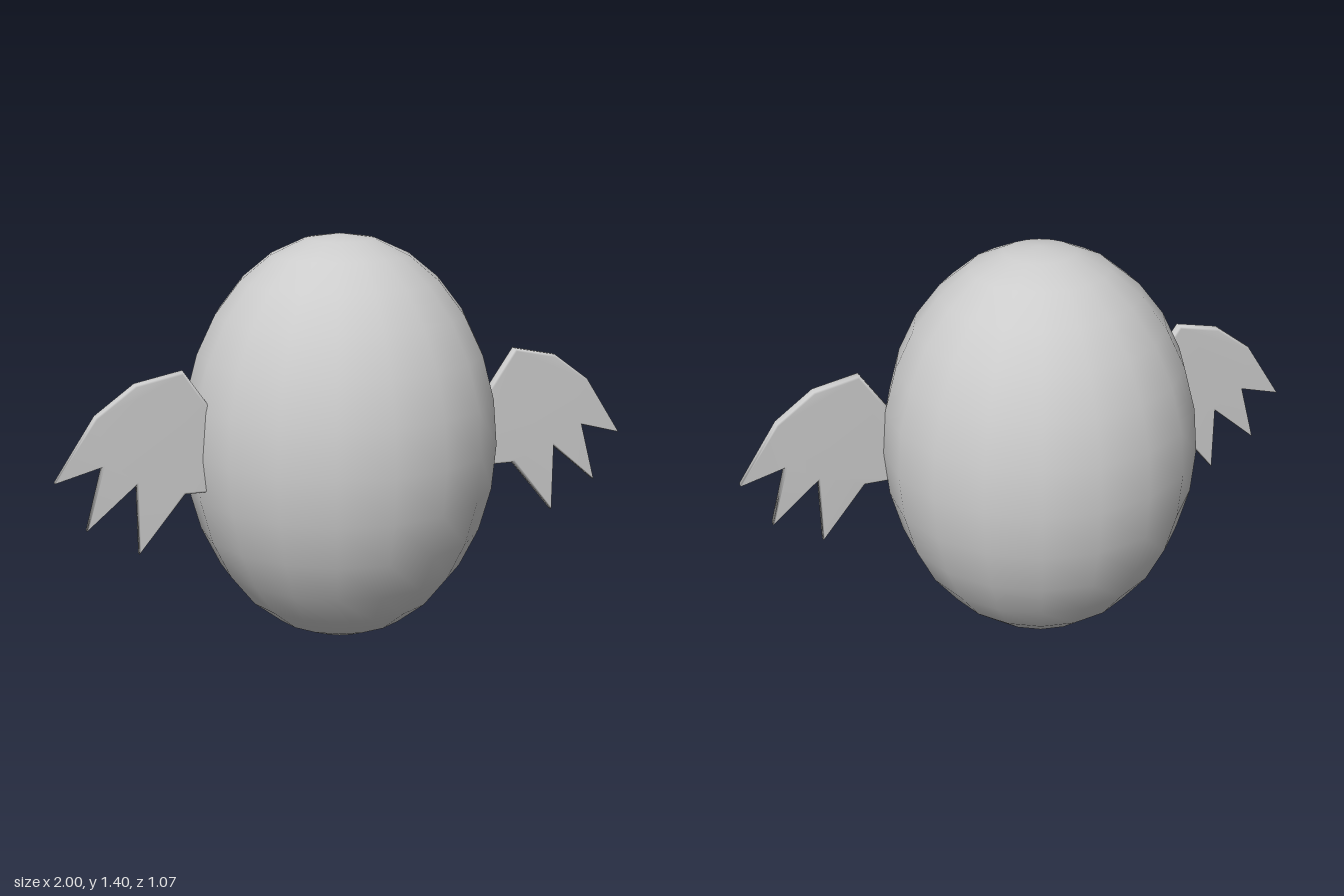
import * as THREE from 'three';
import { mergeVertices } from 'three/addons/utils/BufferGeometryUtils.js';

const grey = new THREE.MeshStandardMaterial({ color: 0xcccccc });
grey.name = 'grey';

// Feathered wing outline, from the root over the top to the feather tips
const OUTLINE = [
  [0.46, 0.82], [0.5, 0.88], [0.58, 0.997], [0.735, 0.965], [0.865, 0.87], [1, 0.665],
  [0.85, 0.705], [0.907, 0.498], [0.742, 0.637], [0.742, 0.402], [0.585, 0.59], [0.46, 0.59],
];

// Thin plate with softened rims, side = 1 for left and -1 for right
function makeWing(side) {
  const shape = new THREE.Shape(OUTLINE.map(([x, y]) => new THREE.Vector2(x * side, y)));
  const bevel = 0.009;
  const plate = new THREE.ExtrudeGeometry(shape, {
    depth: 0.037 - 2 * bevel,
    bevelSize: bevel,
    bevelThickness: bevel,
    bevelOffset: -bevel,
    bevelSegments: 2,
  });
  plate.deleteAttribute('uv');
  plate.deleteAttribute('normal');
  const geometry = mergeVertices(plate, 1e-5);
  geometry.computeVertexNormals();
  const wing = new THREE.Mesh(geometry, grey);
  wing.position.z = 0.095 + bevel;
  wing.name = side > 0 ? 'leftWing' : 'rightWing';
  return wing;
}

export function createModel() {
  const model = new THREE.Group();
  model.name = 'wingedEgg';

  // Egg-shaped body, with a seam vertex facing straight forward and back
  const egg = new THREE.SphereGeometry(1, 18, 14);
  egg.rotateY(Math.PI / 2);
  egg.scale(0.536, 0.698, 0.536);
  const body = new THREE.Mesh(egg, grey);
  body.position.set(-0.012, 0.702, 0);
  body.name = 'body';

  model.add(body, makeWing(1), makeWing(-1));
  return model;
}
